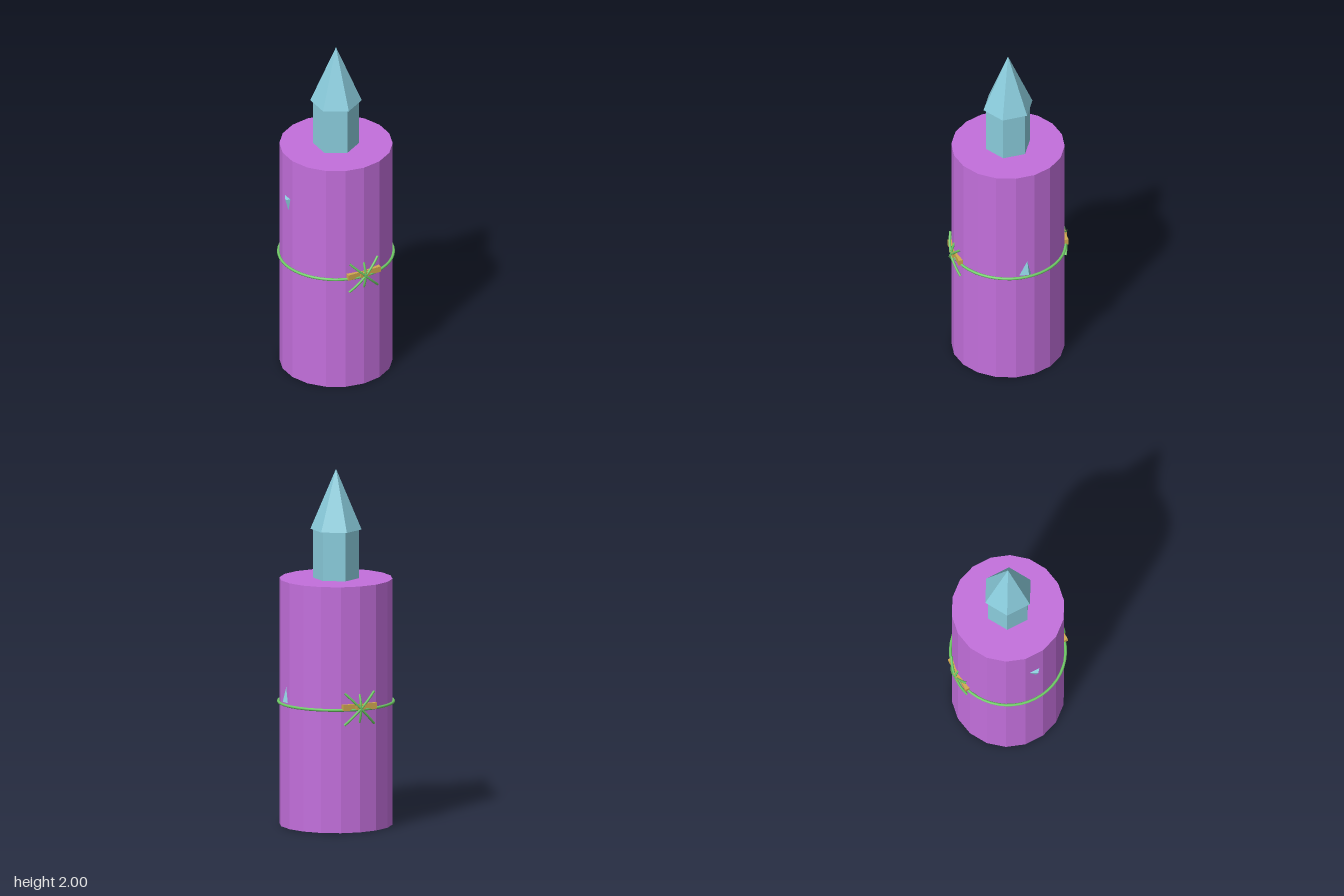
import * as THREE from 'three';

const mat = (name, color) => {
  const m = new THREE.MeshStandardMaterial({ color });
  m.name = name;
  return m;
};

export function createModel() {
  const wax = mat('purple wax', 0xc36fdc);
  const crystal = mat('pale blue crystal', 0x8accdc);
  const vine = mat('green vine', 0x70cc68);
  const gold = mat('gold wood', 0xd0a850);

  const model = new THREE.Group();
  model.name = 'candle';
  const add = (parent, name, geometry, material, x = 0, y = 0, z = 0) => {
    const mesh = new THREE.Mesh(geometry, material);
    mesh.name = name;
    mesh.position.set(x, y, z);
    parent.add(mesh);
    return mesh;
  };
  const flat = (geometry) => {
    const g = geometry.toNonIndexed();
    g.computeVertexNormals();
    return g;
  };

  // Faceted wax body
  add(model, 'body', flat(new THREE.CylinderGeometry(0.315, 0.315, 1.385, 18)), wax, 0, 0.6925, 0);

  // Hexagonal crystal flame: stem and pointed tip
  add(model, 'flameStem', flat(new THREE.CylinderGeometry(0.127, 0.127, 0.28, 6)), crystal, 0, 1.52, 0);
  add(model, 'flameTip', flat(new THREE.ConeGeometry(0.143, 0.34, 6)), crystal, 0, 1.83, 0);

  // Vine ring tied round the body
  const ring = add(model, 'vineRing', new THREE.TorusGeometry(0.32, 0.008, 8, 48), vine, 0, 0.693, 0);
  ring.rotation.x = Math.PI / 2;

  // Bow: gold bars with a star of bent vine sprigs, on front and back
  const sprig = (x, y) => new THREE.TubeGeometry(
    new THREE.QuadraticBezierCurve3(
      new THREE.Vector3(-x, -y, 0.307),
      new THREE.Vector3(0, 0, 0.355),
      new THREE.Vector3(x, y, 0.307)
    ), 10, 0.007, 6);
  for (const side of ['front', 'back']) {
    const bow = new THREE.Group();
    bow.name = side + 'Bow';
    bow.rotation.y = side === 'front' ? 0 : Math.PI;
    add(bow, 'goldBar', new THREE.BoxGeometry(0.206, 0.034, 0.03), gold, 0, 0.708, 0.306);
    add(bow, 'goldKnot', new THREE.BoxGeometry(0.06, 0.025, 0.02), gold, 0, 0.708, 0.324);
    for (const [x, y] of [[0.09, 0.09], [-0.09, 0.09], [0, 0.083]]) {
      add(bow, 'vineSprig', sprig(x, y), vine, 0, 0.698, 0);
    }
    model.add(bow);
  }

  // Small crystal shards set in the sides; corners: tip, outer, front, back
  const shard = (name, corners) => {
    const [tip, outer, front, back] = corners.map((c) => new THREE.Vector3(...c));
    const mid = new THREE.Vector3();
    [tip, outer, front, back].forEach((p) => mid.addScaledVector(p, 0.25));
    const points = [];
    for (const [a, b, c] of [[tip, outer, front], [tip, back, outer], [outer, back, front], [tip, front, back]]) {
      const n = b.clone().sub(a).cross(c.clone().sub(a));
      const outward = n.dot(a.clone().sub(mid)) > 0;
      points.push(...(outward ? [a, b, c] : [a, c, b]));
    }
    const g = new THREE.BufferGeometry().setFromPoints(points);
    g.computeVertexNormals();
    add(model, name, g, crystal);
  };
  shard('leftShard', [[0.31, 0.795, -0.012], [0.332, 0.713, -0.015], [0.308, 0.705, 0.04], [0.306, 0.705, -0.036]]);
  shard('rightShard', [[-0.31, 1.045, 0.012], [-0.332, 1.122, 0.014], [-0.308, 1.128, 0.034], [-0.306, 1.128, -0.038]]);

  return model;
}
